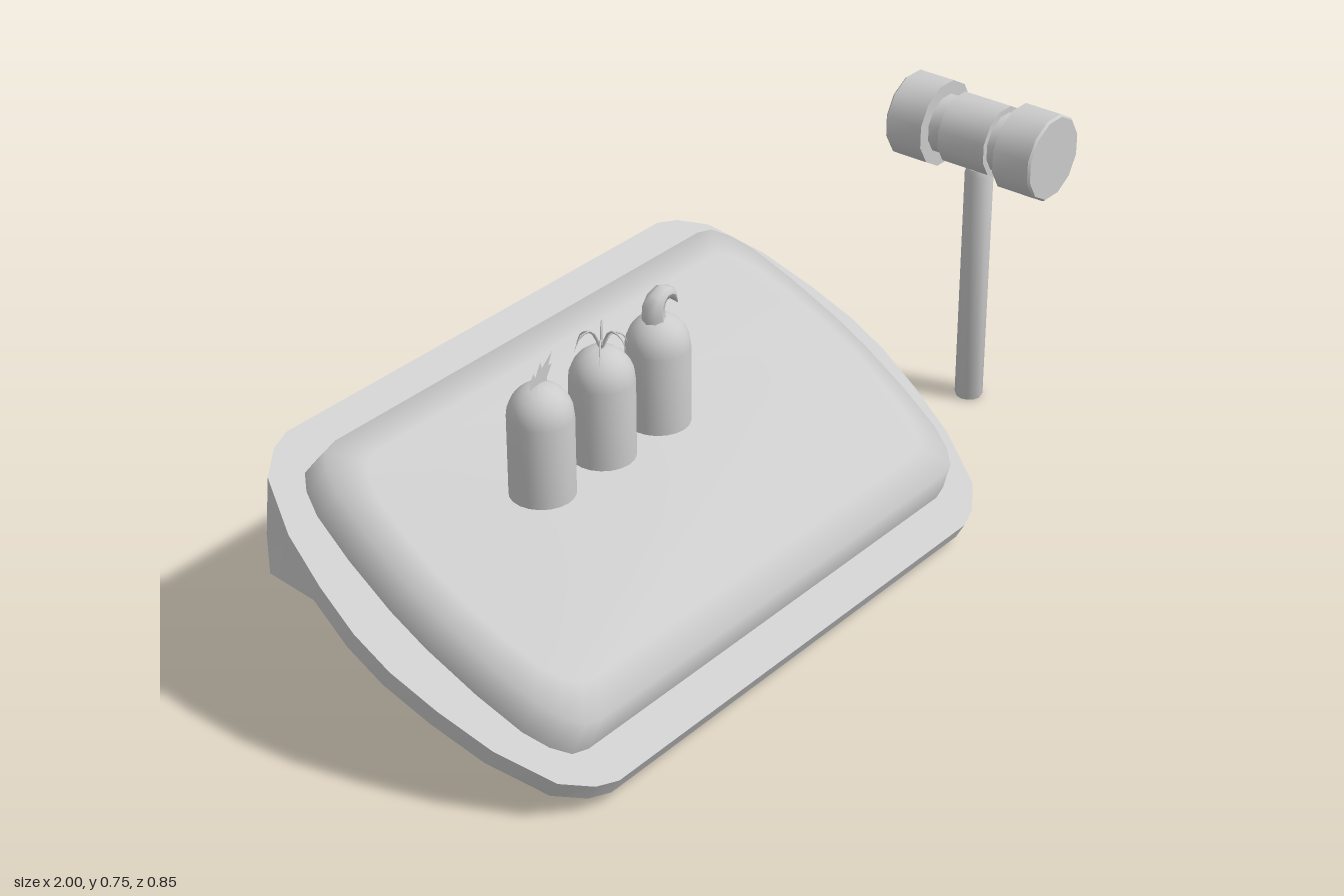
import * as THREE from 'three';
import { toCreasedNormals } from 'three/addons/utils/BufferGeometryUtils.js';

const solid = new THREE.MeshStandardMaterial({ color: 0xcccccc });
const thin = new THREE.MeshStandardMaterial({ color: 0xcccccc, side: THREE.DoubleSide });

function part(name, geometry, material = solid) {
  const mesh = new THREE.Mesh(geometry, material);
  mesh.name = name;
  return mesh;
}

function lathe(points, sides, crease = 0.7) {
  const profile = points.map(([r, y]) => new THREE.Vector2(r, y));
  return toCreasedNormals(new THREE.LatheGeometry(profile, sides), crease);
}

// Mirror a quarter outline (side middle to back corner) into a full loop
function fullLoop(quarter) {
  const back = quarter.map(([x, z]) => [x, -z]);
  const half = [...back, ...back.map(([x, z]) => [-x, z]).reverse()];
  return [...half, ...half.map(([x, z]) => [-x, -z])];
}

// Join loops of points, closing the last one with a fan
function loft(rings) {
  const n = rings[0].length, index = [];
  for (let r = 0; r < rings.length - 1; r++) {
    for (let i = 0; i < n; i++) {
      const a = r * n + i, b = r * n + (i + 1) % n;
      index.push(a, b, b + n, a, b + n, a + n);
    }
  }
  const last = (rings.length - 1) * n;
  for (let i = 1; i < n - 1; i++) index.push(last, last + i, last + i + 1);
  const g = new THREE.BufferGeometry();
  g.setAttribute('position', new THREE.Float32BufferAttribute(rings.flat(2), 3));
  g.setIndex(index);
  return toCreasedNormals(g, 1.2);
}

// Tray: hollow shell with rim, raised panel and a deeper skirt at the back
function createTray() {
  const outer = fullLoop([[0.7825, 0.05], [0.765, 0.164], [0.735, 0.287], [0.6775, 0.41], [0.6175, 0.457], [0.5675, 0.474]]);
  const panel = fullLoop([[0.684, 0.05], [0.673, 0.18], [0.655, 0.29], [0.633, 0.345], [0.605, 0.38], [0.5675, 0.39]]);
  const skirt = outer.map(([x, z]) => [x, z < -0.28 ? -0.126 : -0.042, z < -0.4 ? z + 0.05 : z]);
  const level = (loop, y, sx = 1, sz = 1) => loop.map(([x, z]) => [x * sx, y, z * sz]);
  const tray = part('tray', loft([
    skirt,
    level(outer, 0),
    level(panel, 0),
    level(panel, 0.075, 0.98, 0.965),
    level(panel, 0.092, 0.9, 0.79),
  ]), thin);
  tray.rotation.x = 0.494;
  tray.position.set(-0.2175, 0.285, 0.0075);
  return tray;
}

// Mallet standing on its handle, head along z
function createMallet() {
  const mallet = new THREE.Group();
  mallet.name = 'mallet';
  const half = [[0, 0.19], [0.094, 0.19], [0.0985, 0.185], [0.0985, 0.095], [0.068, 0.095], [0.068, 0.06], [0.082, 0.06]];
  const profile = [...half.map(([r, y]) => [r, -y]), ...half.slice().reverse()];
  const head = part('malletHead', lathe(profile, 12).rotateY(Math.PI / 12).rotateX(Math.PI / 2));
  head.position.y = 0.657;
  const handle = part('malletHandle', lathe([[0, 0], [0.03, 0], [0.032, 0.005], [0.032, 0.565], [0.028, 0.58], [0, 0.58]], 12));
  mallet.add(head, handle);
  mallet.position.set(0.9, 0, 0.06);
  return mallet;
}

// Tapered tube along a curve
function taperedTube(points, radius, flatten = 1) {
  const curve = new THREE.CatmullRomCurve3(points.map((p) => new THREE.Vector3(...p)));
  const steps = 8, sides = 8;
  const g = new THREE.TubeGeometry(curve, steps, radius, sides);
  const p = g.attributes.position, v = new THREE.Vector3();
  for (let i = 0; i < p.count; i++) {
    const t = Math.floor(i / (sides + 1)) / steps;
    const c = curve.getPointAt(t);
    v.fromBufferAttribute(p, i).sub(c).multiplyScalar(1 - 0.95 * t * t).add(c);
    p.setXYZ(i, v.x, v.y, v.z * flatten);
  }
  g.computeVertexNormals();
  return g;
}

// Pop-up peg with a domed top
function createPeg(x) {
  const peg = new THREE.Group();
  peg.name = 'peg';
  const profile = [[0, 0], [0.066, 0], [0.066, 0.17]];
  for (let i = 1; i <= 6; i++) {
    const a = (i / 6) * Math.PI / 2;
    profile.push([0.066 * Math.cos(a), 0.17 + 0.07 * Math.sin(a)]);
  }
  peg.add(part('pegBody', lathe(profile, 20)));
  peg.position.set(x, 0.45, 0.06);
  return peg;
}

export function createModel() {
  const model = new THREE.Group();
  model.name = 'malletGame';
  const pegs = [-0.57, -0.39, -0.22].map(createPeg);
  model.add(createTray(), createMallet(), ...pegs);

  // Flat spiky crest
  const crest = new THREE.Shape();
  [[-0.025, 0.225], [-0.028, 0.25], [-0.016, 0.268], [-0.012, 0.256], [0.004, 0.284], [0.008, 0.27],
    [0.038, 0.294], [0.026, 0.268], [0.036, 0.268], [0.022, 0.245], [0.02, 0.225]]
    .forEach(([x, y], i) => (i ? crest.lineTo(x, y) : crest.moveTo(x, y)));
  pegs[0].add(part('crest', new THREE.ShapeGeometry(crest), thin));

  // Drooping strands
  for (let i = 0; i < 6; i++) {
    const a = i * Math.PI / 3 + 0.4, s = Math.sin(a), c = Math.cos(a);
    const rise = i % 2 ? 0.28 : 0.265;
    pegs[1].add(part('strand', taperedTube(
      [[0, 0.235, 0], [c * 0.022, rise, s * 0.022], [c * 0.045, rise - 0.008, s * 0.045], [c * 0.058, rise - 0.035, s * 0.058]], 0.003), thin));
  }

  // Curled tuft sweeping to one side
  pegs[2].add(part('tuft', taperedTube(
    [[-0.01, 0.225, 0], [-0.012, 0.26, 0], [0.008, 0.28, 0], [0.038, 0.272, 0], [0.062, 0.24, 0]], 0.024), thin));
  return model;
}
